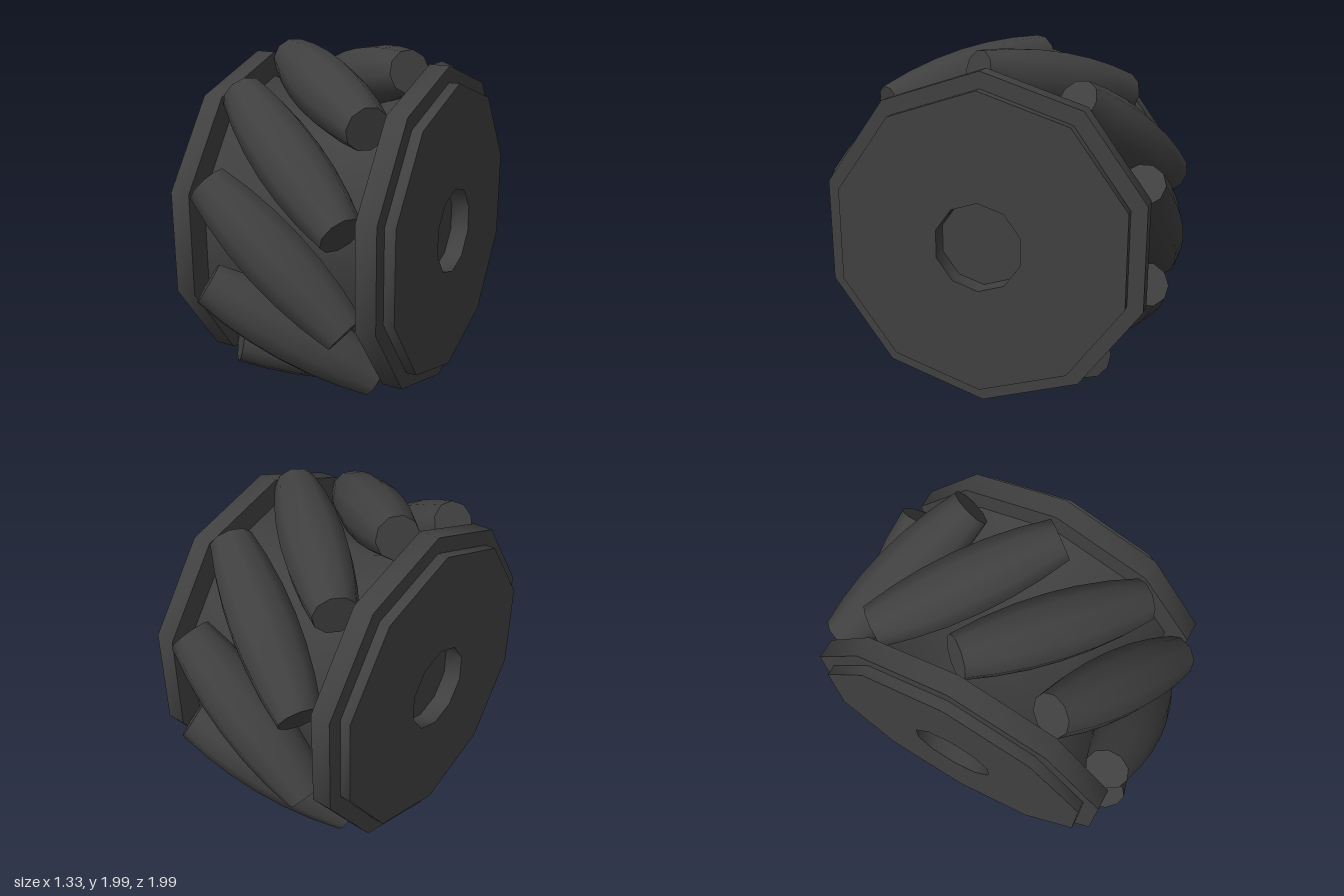
import * as THREE from 'three';
import { toCreasedNormals } from 'three/addons/utils/BufferGeometryUtils.js';

const SIDES = 10;
const ROLLERS = 10;
const CREASE = 0.7;

// Ten-sided solid turned about the x axis; profile points are [radius, x]
function turned(profile) {
  const points = profile.map(([r, x]) => new THREE.Vector2(r, x));
  const geometry = new THREE.LatheGeometry(points, SIDES, Math.PI / 2);
  geometry.rotateZ(-Math.PI / 2);
  return toCreasedNormals(geometry, CREASE);
}

// Barrel roller along x, tapering towards both flat ends
function rollerGeometry(halfLength, midRadius, endRadius) {
  const geometry = new THREE.CylinderGeometry(1, 1, 2 * halfLength, SIDES, 6);
  const pos = geometry.attributes.position;
  for (let i = 0; i < pos.count; i++) {
    const t = pos.getY(i) / halfLength;
    const r = midRadius - (midRadius - endRadius) * t * t;
    pos.setX(i, pos.getX(i) * r);
    pos.setZ(i, pos.getZ(i) * r);
  }
  geometry.rotateZ(-Math.PI / 2);
  return toCreasedNormals(geometry, CREASE);
}

export function createModel() {
  const model = new THREE.Group();
  model.name = 'rollerWheel';
  const darkGrey = new THREE.MeshStandardMaterial({ color: 0x404040 });
  darkGrey.name = 'darkGrey';

  const wheel = new THREE.Group();
  wheel.name = 'wheel';
  wheel.position.y = 1;
  model.add(wheel);

  // Waisted core between the side plates
  const core = new THREE.Mesh(
    turned([[0.78, -0.49], [0.68, -0.2], [0.68, 0.2], [0.78, 0.49]]), darkGrey);
  core.name = 'core';
  wheel.add(core);

  // Stepped side plates with an axle recess
  const plate = turned([
    [0, 0.49], [0.92, 0.49], [0.92, 0.605], [0.83, 0.605],
    [0.83, 0.665], [0.245, 0.665], [0.245, 0.56], [0, 0.56],
  ]);
  for (const side of ['left', 'right']) {
    const mesh = new THREE.Mesh(plate, darkGrey);
    mesh.name = side + 'SidePlate';
    if (side === 'right') mesh.rotation.y = Math.PI;
    wheel.add(mesh);
  }

  // Slanted rollers around the rim
  const barrel = rollerGeometry(0.53, 0.18, 0.12);
  for (let i = 0; i < ROLLERS; i++) {
    const arm = new THREE.Group();
    arm.name = 'rollerMount' + (i + 1);
    arm.rotation.x = (i / ROLLERS) * Math.PI * 2;
    const roller = new THREE.Mesh(barrel, darkGrey);
    roller.name = 'roller' + (i + 1);
    roller.position.z = 0.817;
    roller.rotation.z = THREE.MathUtils.degToRad(-40);
    arm.add(roller);
    wheel.add(arm);
  }
  return model;
}
